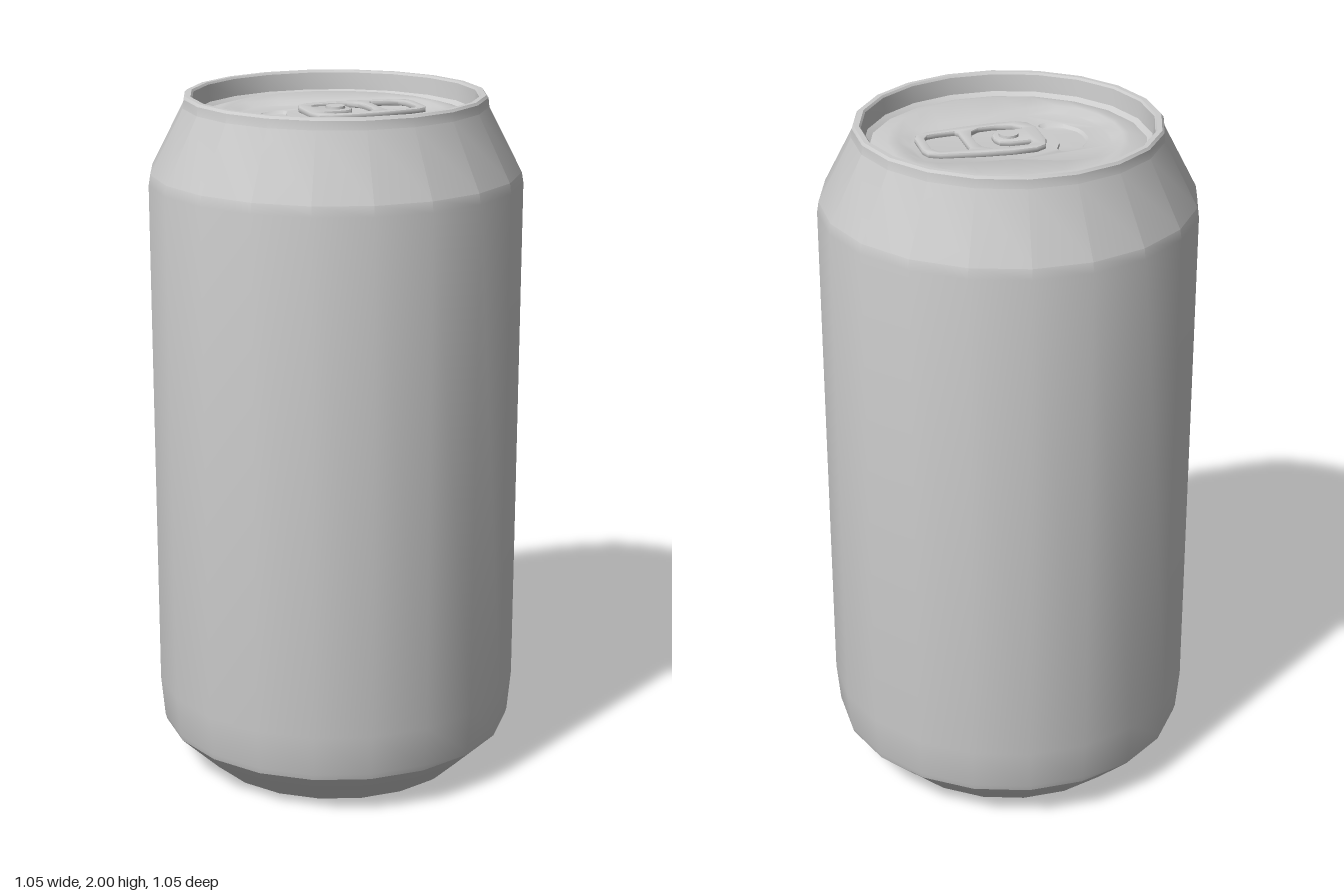
import * as THREE from 'three';
import { mergeGeometries, toCreasedNormals } from 'three/addons/utils/BufferGeometryUtils.js';

const SIDES = 20;
const metal = new THREE.MeshStandardMaterial({ color: 0xcccccc });

// Plan outlines: [x, y] with y pointing to the back, counter-clockwise from above.
// Give the y >= 0 half running from right to left; the other half is mirrored.
const mirrored = (half) => half.concat(
  half.filter(([, y]) => y > 0).reverse().map(([x, y]) => [x, -y]));
const scaled = (outline, s, cx = 0) => outline.map(([x, y]) => [cx + (x - cx) * s, y * s]);
const vectors = (outline) => outline.map(([x, y]) => new THREE.Vector2(x, y));

const circle = (r) => Array.from({ length: SIDES }, (_, i) => {
  const a = (i + 0.5) * 2 * Math.PI / SIDES;
  return [r * Math.cos(a), r * Math.sin(a)];
});

// Upward-facing strip between two matching outlines, outer to inner
function strip(outer, yOuter, inner, yInner) {
  const pos = [];
  const n = outer.length;
  for (let i = 0; i < n; i++) {
    const j = (i + 1) % n;
    const [a, b] = [outer[i], outer[j]].map(([x, y]) => [x, yOuter, -y]);
    const [d, c] = [inner[i], inner[j]].map(([x, y]) => [x, yInner, -y]);
    pos.push(...a, ...b, ...c, ...a, ...c, ...d);
  }
  const g = new THREE.BufferGeometry();
  g.setAttribute('position', new THREE.Float32BufferAttribute(pos, 3));
  g.computeVertexNormals();
  return g;
}

// Flat upward-facing area, optionally with a hole
function flat(outline, y, hole) {
  const shape = new THREE.Shape(vectors(outline));
  if (hole) shape.holes.push(new THREE.Path(vectors(hole)));
  const g = new THREE.ShapeGeometry(shape).toNonIndexed();
  g.deleteAttribute('uv');
  return g.rotateX(-Math.PI / 2).translate(0, y, 0);
}

function add(group, name, geometry, crease) {
  const mesh = new THREE.Mesh(toCreasedNormals(geometry, crease), metal);
  mesh.name = name;
  group.add(mesh);
  return mesh;
}

export function createModel() {
  const can = new THREE.Group();
  can.name = 'drinkCan';

  // Body: base, chamfer, wall, shoulder, rim and the inside of the rim
  const profile = [
    [0, 0], [0.39, 0], [0.4, 0.008], [0.517, 0.122], [0.522, 0.14], [0.533, 0.26],
    [0.533, 1.755], [0.528, 1.785], [0.433, 1.968], [0.43, 1.993], [0.424, 2],
    [0.41, 2], [0.405, 1.994], [0.4, 1.945], [0.385, 1.935],
  ].map(([r, y]) => new THREE.Vector2(r, y));
  add(can, 'body', new THREE.LatheGeometry(profile, SIDES, Math.PI / SIDES), 0.42);

  // Lid: raised panel, teardrop recess and the sunken pour opening
  const panelY = 1.95, floorY = 1.938, openingY = 1.93;
  const recess = mirrored([
    [0.3, 0.04], [0.285, 0.1], [0.235, 0.14], [0.15, 0.158], [0.03, 0.163],
    [-0.1, 0.213], [-0.2, 0.213], [-0.26, 0.17], [-0.295, 0.11], [-0.315, 0.04],
  ]);
  const recessFloor = scaled(recess, 0.9);
  const opening = mirrored([
    [-0.135, 0], [-0.13, 0.05], [-0.112, 0.09], [-0.118, 0.108], [-0.14, 0.116],
    [-0.185, 0.095], [-0.215, 0.05], [-0.222, 0.02],
  ]);
  const openingFloor = scaled(opening, 0.88, -0.165);
  add(can, 'lid', mergeGeometries([
    strip(circle(0.385), 1.935, circle(0.335), panelY),
    strip(circle(0.335), panelY, recess, panelY),
    strip(recess, panelY, recessFloor, floorY),
    flat(recessFloor, floorY, opening),
    strip(opening, floorY, openingFloor, openingY),
    flat(openingFloor, openingY),
  ]), 0.65);

  // Pull tab with a finger hole and a C-shaped slot around the rivet tongue
  const tab = new THREE.Shape(vectors(mirrored([
    [0.255, 0.045], [0.245, 0.072], [0.215, 0.088], [0.1, 0.105], [0.02, 0.111],
    [-0.05, 0.108], [-0.08, 0.09], [-0.093, 0.05],
  ])));
  const fingerHole = mirrored([
    [0.228, 0.04], [0.215, 0.063], [0.19, 0.07], [0.135, 0.074], [0.128, 0.065],
  ]);
  const slot = mirrored([
    [0.098, 0.025], [0.09, 0.06], [0.065, 0.082], [0.02, 0.086], [-0.03, 0.08],
    [-0.052, 0.06], [-0.05, 0.046], [0.01, 0.046], [0.035, 0.035], [0.045, 0.012],
  ]);
  tab.holes.push(...[fingerHole, slot].map((h) => new THREE.Path(vectors(h))));
  const tabGeometry = new THREE.ExtrudeGeometry(tab, {
    depth: 0.008, bevelThickness: 0.004, bevelSize: 0.005, bevelOffset: -0.005, bevelSegments: 2,
  });
  tabGeometry.rotateX(-Math.PI / 2).translate(0, floorY + 0.006, 0);
  add(can, 'pullTab', tabGeometry, 0.7);

  // Rivet holding the tab
  const rivet = add(can, 'rivet', new THREE.CylinderGeometry(0.027, 0.03, 0.026, 16), 0.6);
  rivet.position.y = floorY + 0.012;

  return can;
}
